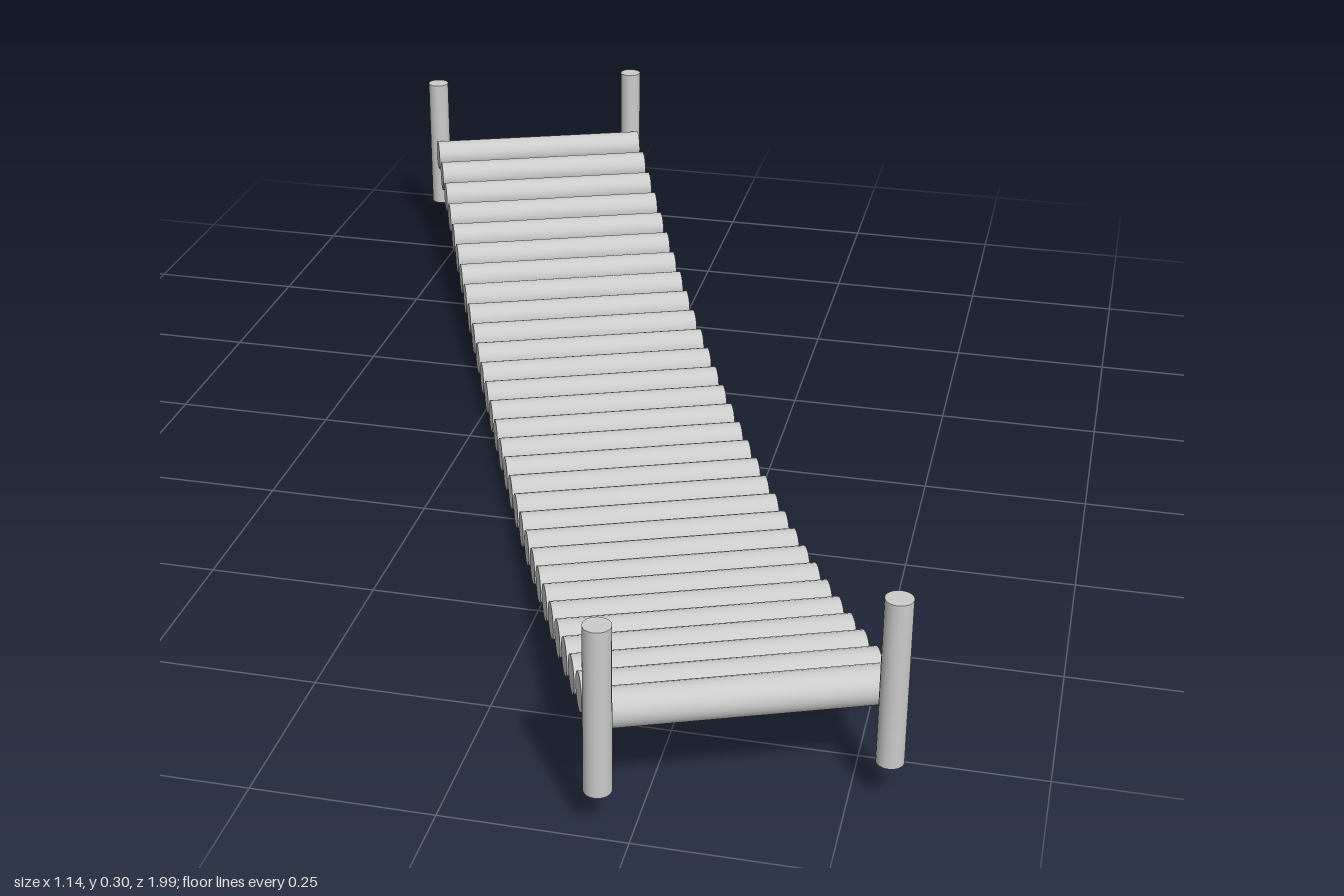
import * as THREE from 'three';

export function createModel() {
  const model = new THREE.Group();
  model.name = 'hangingLogBridge';
  const wood = new THREE.MeshStandardMaterial({ color: 0xcccccc });

  // The bridge runs diagonally across the ground plan
  const bridge = new THREE.Group();
  bridge.name = 'bridge';
  bridge.rotation.y = THREE.MathUtils.degToRad(22.6);
  model.add(bridge);

  // Deck: logs laid side by side along a sagging curve, back end a little higher
  const logCount = 30;
  const halfSpan = 0.945;
  const logGeometry = new THREE.CylinderGeometry(0.0265, 0.0265, 0.39, 24);
  logGeometry.rotateZ(Math.PI / 2);
  const deck = new THREE.Group();
  deck.name = 'deck';
  for (let i = 0; i < logCount; i++) {
    const t = (i / (logCount - 1)) * 2 - 1;
    const log = new THREE.Mesh(logGeometry, wood);
    log.name = 'deckLog';
    log.position.set(0, 0.0285 + 0.132 * t * t - 0.008 * t, t * halfSpan);
    log.rotation.z = -0.008;
    deck.add(log);
  }
  bridge.add(deck);

  // Four upright posts just beyond the deck corners
  const postGeometry = new THREE.CylinderGeometry(0.0185, 0.0185, 0.24, 24);
  for (const end of [-1, 1]) {
    for (const side of [-1, 1]) {
      const post = new THREE.Mesh(postGeometry, wood);
      post.name = (end > 0 ? 'front' : 'back') + (side > 0 ? 'Left' : 'Right') + 'Post';
      post.position.set(side * 0.187, 0.181 - end * 0.0025, end * 0.982);
      bridge.add(post);
    }
  }

  return model;
}
